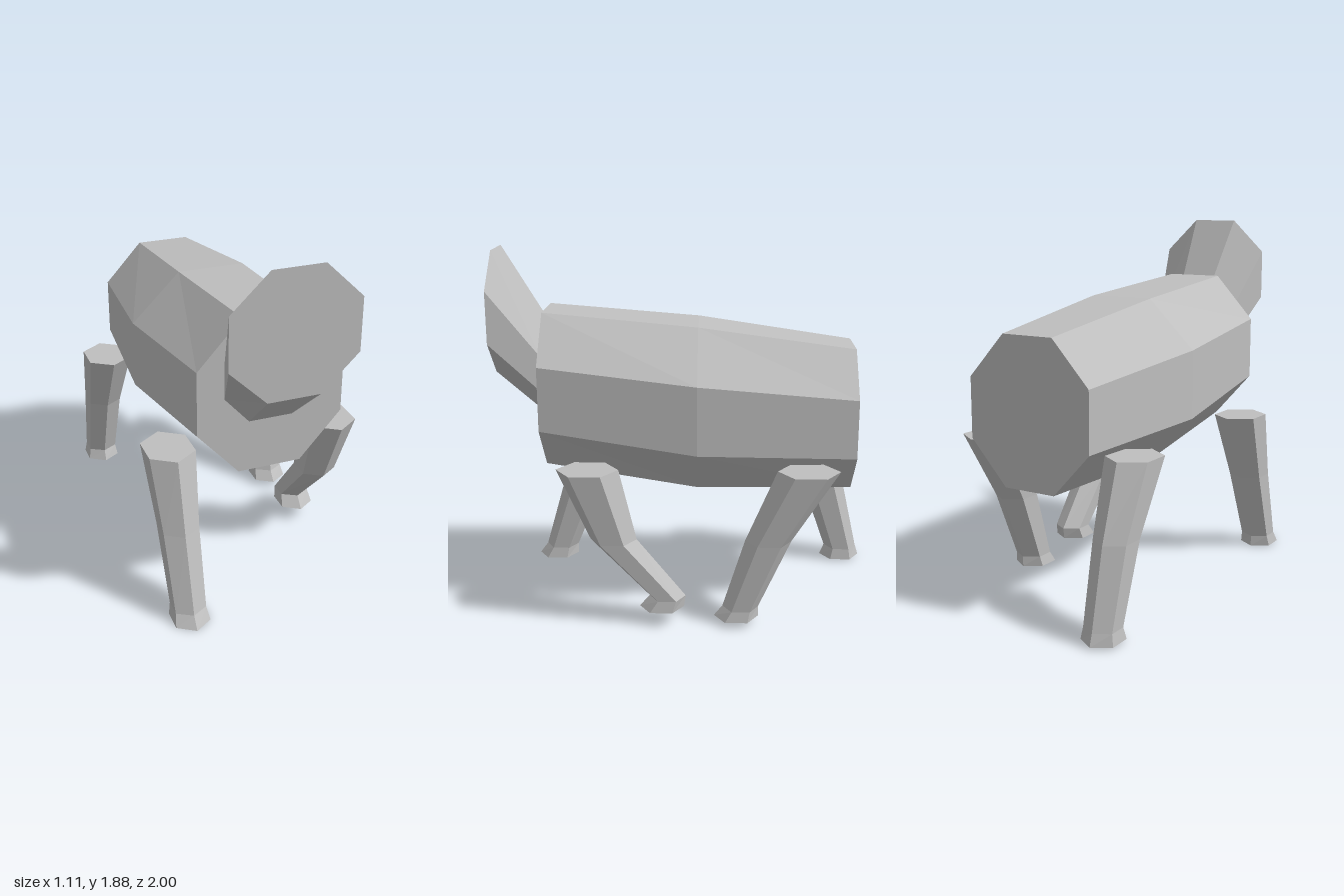
import * as THREE from 'three';

const grey = new THREE.MeshStandardMaterial({ color: 0xbfbfbf, flatShading: true });
grey.name = 'plain grey';

// Skin a list of equal-sized rings and cap both ends.
// Rings run anticlockwise as seen from the last ring's side.
function loft(name, rings) {
  const n = rings[0].length;
  const index = [];
  for (let r = 0; r < rings.length - 1; r++) {
    for (let i = 0; i < n; i++) {
      const a = r * n + i, b = r * n + (i + 1) % n;
      index.push(a, b, b + n, a, b + n, a + n);
    }
  }
  const last = (rings.length - 1) * n;
  for (let i = 1; i < n - 1; i++) {
    index.push(0, i + 1, i, last, last + i, last + i + 1);
  }
  const geometry = new THREE.BufferGeometry();
  geometry.setAttribute('position', new THREE.Float32BufferAttribute(rings.flat(2), 3));
  geometry.setIndex(index);
  const flat = geometry.toNonIndexed();
  flat.computeVertexNormals();
  const mesh = new THREE.Mesh(flat, grey);
  mesh.name = name;
  return mesh;
}

// Upright octagon: half width, half width of the flat top and bottom, four heights
function octagon(z, w, top, bottom, [y0, y1, y2, y3]) {
  return [
    [top, y3, z], [-top, y3, z], [-w, y2, z], [-w, y1, z],
    [-bottom, y0, z], [bottom, y0, z], [w, y1, z], [w, y2, z],
  ];
}

// Level hexagon with its points fore and aft
function hexagon(x, y, z, halfWidth, halfLength) {
  const ring = [];
  for (let i = 0; i < 6; i++) {
    const a = Math.PI / 6 + i * Math.PI / 3;
    ring.push([x + halfWidth * Math.cos(a) / Math.cos(Math.PI / 6), y, z - halfLength * Math.sin(a)]);
  }
  return ring;
}

// Half width and half length at the sole, ankle, knee and top of every leg
const legSizes = [[0.09, 0.115], [0.08, 0.093], [0.092, 0.118], [0.118, 0.158]];

// Each stop is [y, z], listed from the sole upward
function leg(name, x, stops) {
  return loft(name, stops.map(([y, z], i) => hexagon(x, y, z, ...legSizes[i])));
}

export function createModel() {
  const model = new THREE.Group();
  model.name = 'fourLeggedAnimal';

  // Barrel body, rear to front
  model.add(loft('body', [
    octagon(-0.86, 0.345, 0.142, 0.142, [0.64, 0.86, 1.165, 1.385]),
    octagon(-0.05, 0.43, 0.176, 0.176, [0.643, 0.895, 1.25, 1.5]),
    octagon(0.75, 0.37, 0.152, 0.16, [0.765, 1.0, 1.33, 1.568]),
  ]));

  // Head flaring forward and up from the chest
  model.add(loft('head', [
    octagon(0.75, 0.235, 0.095, 0.11, [1.03, 1.17, 1.355, 1.48]),
    octagon(1, 0.315, 0.127, 0.13, [1.255, 1.435, 1.7, 1.88]),
  ]));

  // Legs in mid-stride
  model.add(
    leg('frontLeftLeg', 0.435, [[0.08, 0.13], [0.14, 0.1], [0.45, 0.375], [0.823, 0.503]]),
    leg('frontRightLeg', -0.435, [[0, 0.798], [0.06, 0.775], [0.45, 0.637], [0.823, 0.503]]),
    leg('rearLeftLeg', 0.435, [[0.03, -0.255], [0.085, -0.277], [0.45, -0.415], [0.823, -0.613]]),
    leg('rearRightLeg', -0.435, [[0.01, -0.885], [0.07, -0.888], [0.46, -0.775], [0.823, -0.613]]),
  );

  return model;
}
